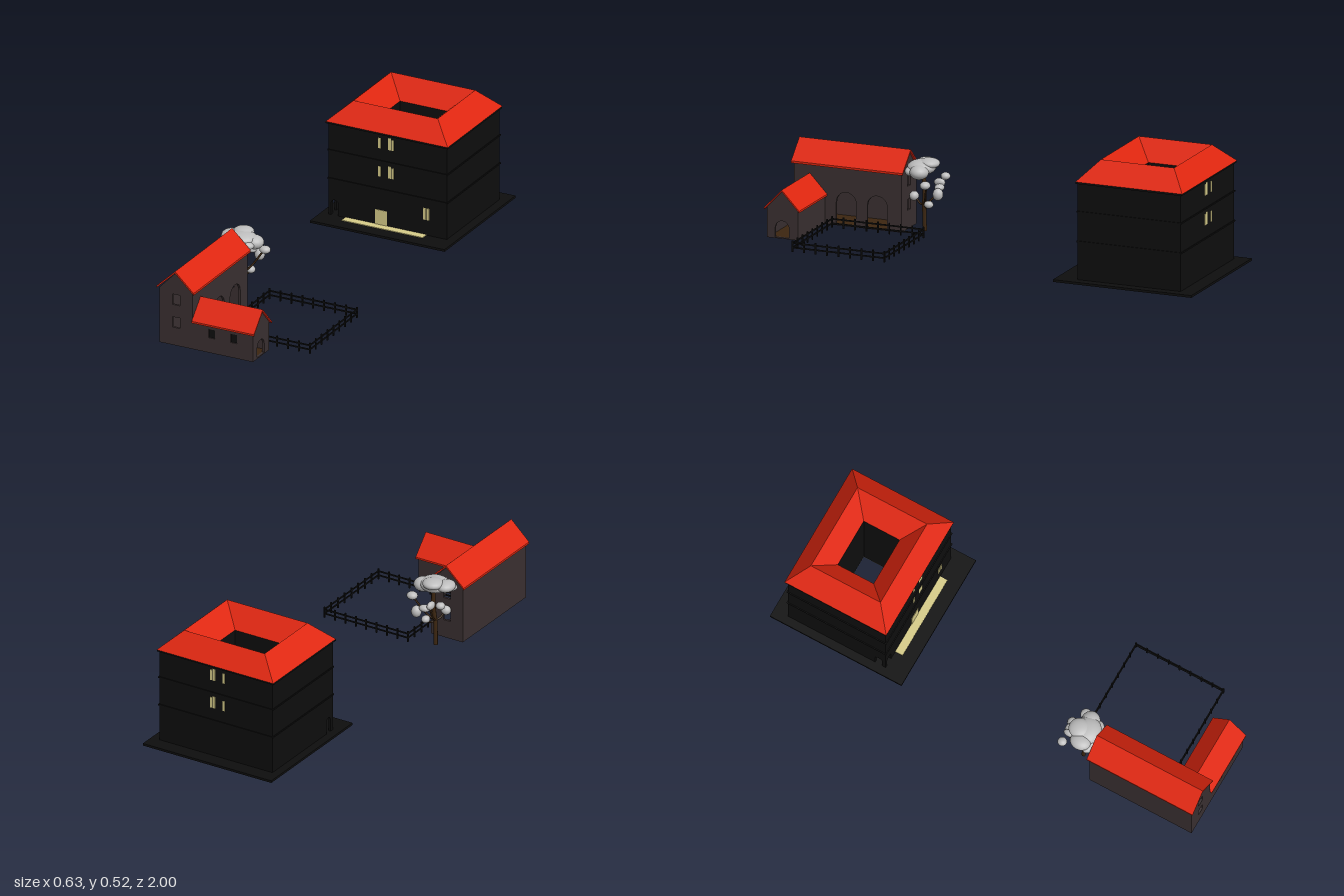
import * as THREE from 'three';

const mat = (name, color, side = THREE.FrontSide) => {
  const m = new THREE.MeshStandardMaterial({ color, side });
  m.name = name;
  return m;
};

export function createModel() {
  const black = mat('black', 0x0e0e0e, THREE.DoubleSide);
  const red = mat('roofRed', 0xe0260f, THREE.DoubleSide);
  const beige = mat('beige', 0xd8cd8a);
  const stone = mat('houseStone', 0x3a3031, THREE.DoubleSide);
  const brown = mat('woodBrown', 0x3c2610);
  const grey = mat('foliageGrey', 0xbdbdbd);
  const root = new THREE.Group();

  const group = (name) => {
    const g = new THREE.Group();
    g.name = name;
    root.add(g);
    return g;
  };
  const add = (parent, name, geo, m) => {
    const mesh = new THREE.Mesh(geo, m);
    mesh.name = name;
    parent.add(mesh);
    return mesh;
  };
  // Box given by its limits
  const box = (parent, name, x0, x1, y0, y1, z0, z1, m) => {
    const mesh = add(parent, name, new THREE.BoxGeometry(x1 - x0, y1 - y0, z1 - z0), m);
    mesh.position.set((x0 + x1) / 2, (y0 + y1) / 2, (z0 + z1) / 2);
    return mesh;
  };
  const pts = (list) => list.map(([a, b]) => new THREE.Vector2(a, b));
  const rect = (a0, a1, b0, b1) => pts([[a0, b0], [a1, b0], [a1, b1], [a0, b1]]);
  // Opening with a round head
  const arch = (a0, a1, b0, top) => {
    const r = (a1 - a0) / 2, list = [[a0, b0], [a1, b0]];
    for (let i = 0; i <= 12; i++) {
      const t = (i / 12) * Math.PI;
      list.push([a0 + r + r * Math.cos(t), top - r + r * Math.sin(t)]);
    }
    return pts(list);
  };
  const extrude = (outline, holes, depth) => {
    const s = new THREE.Shape(outline);
    holes.forEach((h) => s.holes.push(new THREE.Path(h)));
    return new THREE.ExtrudeGeometry(s, { depth, bevelEnabled: false });
  };
  // Wall facing z, starting at z
  const wallZ = (parent, name, outline, holes, z, depth, m) => {
    add(parent, name, extrude(outline, holes, depth), m).position.z = z;
  };
  // Wall facing x, drawn in (z, y), running from x towards -x
  const wallX = (parent, name, outline, holes, x, depth, m) => {
    add(parent, name, extrude(outline, holes, depth).rotateY(-Math.PI / 2), m).position.x = x;
  };
  // Horizontal plate with a hole, drawn in (x, z)
  const ring = (parent, name, o, h, y0, y1, m) => {
    const g = extrude(rect(o[0], o[1], -o[3], -o[2]), [rect(h[0], h[1], -h[3], -h[2])], y1 - y0);
    add(parent, name, g.rotateX(-Math.PI / 2), m).position.y = y0;
  };

  // ---- Large courtyard building ----
  const manor = group('courtyardBuilding');
  const yard = [-0.115, 0.105, -0.79, -0.62];
  const X0 = -0.28, X1 = 0.275, Z0 = -0.935, Z1 = -0.47, T = 0.01, EAVE = 0.43;
  ring(manor, 'basePlate', [-0.316, 0.315, -1, -0.375], yard, 0.001, 0.011, black);
  ring(manor, 'floorUnderside', [-0.2, 0.165, -0.86, -0.435], yard, 0, 0.003, beige);
  box(manor, 'frontTerrace', -0.2, 0.18, 0.011, 0.014, -0.475, -0.435, beige);
  wallZ(manor, 'frontWall', rect(X0, X1, 0.01, EAVE), [arch(-0.268, -0.235, 0.011, 0.08)], Z1 - T, T, black);
  wallX(manor, 'leftSideWall', rect(Z0, Z1, 0.01, EAVE), [arch(-0.52, -0.488, 0.011, 0.08)], X0 + T, T, black);
  box(manor, 'rightSideWall', X1 - T, X1, 0.01, EAVE, Z0, Z1, black);
  box(manor, 'backWall', X0, X1, 0.01, EAVE, Z0, Z0 + T, black);
  ring(manor, 'courtyardWalls', [yard[0] - T, yard[1] + T, yard[2] - T, yard[3] + T], yard, 0.01, EAVE, black);
  // String courses and eave slab
  for (const y of [0.172, 0.3]) {
    ring(manor, 'stringCourse', [X0 - 0.004, X1 + 0.004, Z0 - 0.004, Z1 + 0.004],
      [X0 + T, X1 - T, Z0 + T, Z1 - T], y, y + 0.006, black);
  }
  ring(manor, 'eaveSlab', [-0.29, 0.283, -0.943, -0.463], yard, 0.424, 0.432, black);

  // Hipped roof falling both outward and into the courtyard
  const loops = [
    [[-0.29, 0.283, -0.945, -0.462], 0.432],
    [[-0.2, 0.195, -0.87, -0.54], 0.515],
    [yard, 0.432],
  ].map(([[a, b, c, d], y]) => [[a, y, d], [b, y, d], [b, y, c], [a, y, c]]);
  const tri = [];
  for (let l = 0; l < 2; l++) {
    for (let i = 0; i < 4; i++) {
      const j = (i + 1) % 4, [p, q] = [loops[l], loops[l + 1]];
      tri.push(...p[i], ...p[j], ...q[j], ...p[i], ...q[j], ...q[i]);
    }
  }
  const roofGeo = new THREE.BufferGeometry();
  roofGeo.setAttribute('position', new THREE.Float32BufferAttribute(tri, 3));
  roofGeo.computeVertexNormals();
  add(manor, 'hippedRoof', roofGeo, red);

  // Lit window strips, front and back
  for (const [z, side] of [[Z1, 'front'], [Z0, 'back']]) {
    for (const y of [0.232, 0.36]) {
      for (const [x, w, h] of [[-0.041, 0.012, 0.046], [0.007, 0.014, 0.054], [0.021, 0.01, 0.048]]) {
        box(manor, side + 'Window', x - w / 2, x + w / 2, y, y + h, z - 0.002, z + 0.002, beige);
      }
    }
  }
  for (const x of [0.165, 0.181]) {
    box(manor, 'groundWindow', x, x + 0.012, 0.08, 0.133, Z1 - 0.002, Z1 + 0.002, beige);
  }
  box(manor, 'frontDoor', -0.06, -0.005, 0.012, 0.08, Z1 - 0.002, Z1 + 0.002, beige);

  // ---- Small L-shaped house ----
  const house = group('house');
  const L = -0.295, R = -0.14, M = -0.2175;
  const gable = pts([[L, 0], [R, 0], [R, 0.25], [M, 0.33], [L, 0.25]]);
  const gableHoles = () => [rect(-0.235, -0.2, 0.08, 0.127), rect(-0.235, -0.2, 0.183, 0.23)];
  wallZ(house, 'frontGable', gable, gableHoles(), 0.98, 0.01, stone);
  wallZ(house, 'backGable', gable, gableHoles(), 0.505, 0.01, stone);
  wallX(house, 'yardWall', rect(0.505, 0.99, 0, 0.25),
    [arch(0.57, 0.66, 0.005, 0.145), arch(0.71, 0.8, 0.005, 0.145)], R, 0.01, stone);
  box(house, 'outerWall', L, L + 0.01, 0, 0.25, 0.505, 0.99, stone);
  box(house, 'mainFloor', L + 0.002, R - 0.002, 0, 0.004, 0.507, 0.988, brown);
  const chevron = (c, half, eave, ridge, t) => pts([
    [c - half, eave], [c - half, eave - t], [c, ridge - t], [c + half, eave - t], [c + half, eave], [c, ridge]]);
  wallZ(house, 'mainRoof', chevron(M, 0.087, 0.257, 0.339, 0.009), [], 0.497, 0.503, red);

  // Low wing
  const wingHoles = [-0.065, 0.038].map((x) => rect(x, x + 0.03, 0.067, 0.106));
  wallZ(house, 'wingFrontWall', rect(R, 0.143, 0, 0.13), wingHoles, 0.98, 0.01, stone);
  for (const x of [-0.065, 0.038]) box(house, 'wingPane', x, x + 0.03, 0.067, 0.106, 0.982, 0.985, black);
  box(house, 'wingBackWall', R, 0.143, 0, 0.13, 0.85, 0.86, stone);
  wallX(house, 'wingGable', pts([[0.85, 0], [0.99, 0], [0.99, 0.13], [0.92, 0.204], [0.85, 0.13]]),
    [arch(0.89, 0.953, 0.005, 0.076)], 0.143, 0.01, stone);
  box(house, 'wingFloor', R - 0.002, 0.141, 0, 0.004, 0.852, 0.988, brown);
  wallX(house, 'wingRoof', chevron(0.92, 0.079, 0.129, 0.212, 0.008), [], 0.152, 0.292, red);

  // ---- Fence ----
  const fence = group('fence');
  const F = [-0.1, 0.31, 0.388, 0.802], r = 0.002;
  for (const y of [0.018, 0.037]) {
    for (const z of [F[2], F[3]]) box(fence, 'rail', F[0], F[1], y - 0.003, y + 0.003, z - r, z + r, black);
    for (const x of [F[0], F[1]]) box(fence, 'rail', x - r, x + r, y - 0.003, y + 0.003, F[2], F[3], black);
  }
  const post = (x, z) => box(fence, 'post', x - 0.003, x + 0.003, 0, 0.048, z - 0.003, z + 0.003, black);
  for (let i = 0; i < 8; i++) {
    const x = F[0] + (F[1] - F[0]) * i / 8, z = F[2] + (F[3] - F[2]) * i / 8;
    post(x, F[2]);
    post(F[1], z);
    post(F[0] + F[1] - x, F[3]);
    post(F[0], F[2] + F[3] - z);
  }

  // ---- Tree ----
  const tree = group('tree');
  const limb = (name, points, rad) => {
    const curve = new THREE.CatmullRomCurve3(points.map((p) => new THREE.Vector3(...p)));
    add(tree, name, new THREE.TubeGeometry(curve, 10, rad, 8), brown);
  };
  limb('trunk', [[-0.21, 0, 0.43], [-0.207, 0.1, 0.432], [-0.2, 0.18, 0.428], [-0.2, 0.26, 0.43]], 0.009);
  const start = [-0.206, 0.11, 0.431];
  for (const end of [[-0.13, 0.21, 0.39], [-0.23, 0.2, 0.355], [-0.225, 0.14, 0.48], [-0.18, 0.12, 0.4]]) {
    limb('branch', [start, [(start[0] + end[0]) / 2, (start[1] + end[1]) / 2 - 0.01, (start[2] + end[2]) / 2], end], 0.004);
  }
  // Foliage clumps: centre, then radii
  const clumps = [
    [-0.2, 0.275, 0.44, 0.065, 0.032, 0.06], [-0.255, 0.28, 0.44, 0.038, 0.024, 0.045],
    [-0.15, 0.265, 0.43, 0.042, 0.03, 0.04], [-0.21, 0.292, 0.41, 0.045, 0.022, 0.045],
    [-0.18, 0.262, 0.47, 0.05, 0.022, 0.032], [-0.24, 0.262, 0.475, 0.045, 0.02, 0.028],
    [-0.12, 0.22, 0.39, 0.024, 0.017, 0.022], [-0.275, 0.225, 0.365, 0.02, 0.016, 0.02],
    [-0.165, 0.175, 0.352, 0.022, 0.026, 0.022], [-0.225, 0.21, 0.37, 0.014, 0.018, 0.025],
    [-0.225, 0.14, 0.485, 0.022, 0.02, 0.02], [-0.18, 0.122, 0.4, 0.018, 0.016, 0.02],
    [-0.2, 0.195, 0.36, 0.025, 0.015, 0.02],
  ];
  for (const [x, y, z, a, b, c] of clumps) {
    const mesh = add(tree, 'foliage', new THREE.SphereGeometry(1, 20, 14), grey);
    mesh.position.set(x, y, z);
    mesh.scale.set(a, b, c);
  }
  return root;
}
